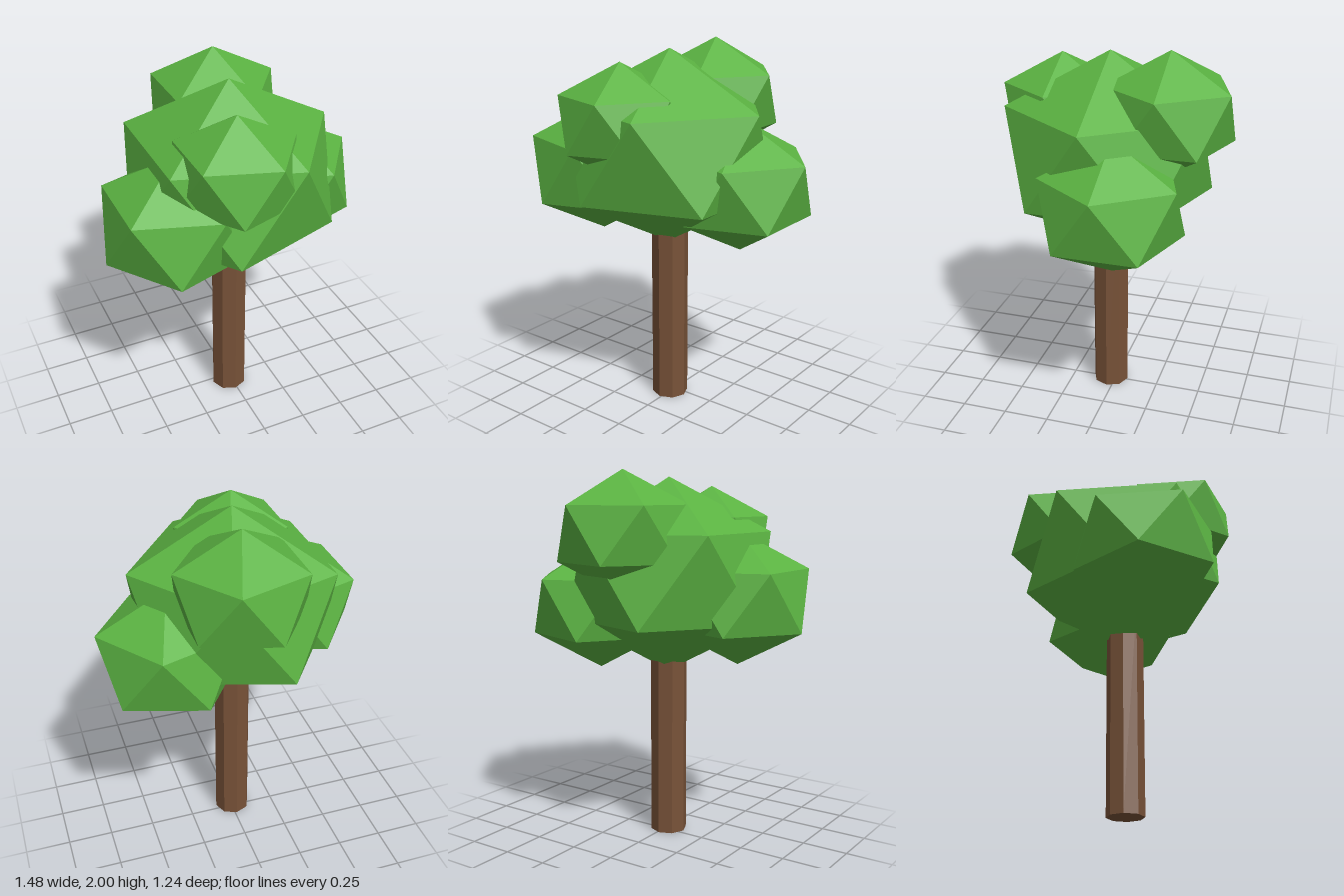
import * as THREE from 'three';

export function createModel() {
  const tree = new THREE.Group();
  tree.name = 'tree';

  const leafGreen = new THREE.MeshStandardMaterial({ color: 0x5bb342 });
  leafGreen.name = 'leaf green';
  const barkBrown = new THREE.MeshStandardMaterial({ color: 0x785238 });
  barkBrown.name = 'bark brown';

  // Trunk: faceted octagonal post running up into the canopy
  const height = 1.15;
  const post = new THREE.CylinderGeometry(0.1, 0.1, height, 8).toNonIndexed();
  post.computeVertexNormals();
  const trunk = new THREE.Mesh(post, barkBrown);
  trunk.name = 'trunk';
  trunk.position.set(-0.01, height / 2, 0.03);
  tree.add(trunk);

  // Leaf clumps: icosahedra standing on one vertex, slightly squashed
  const clumpGeometry = new THREE.IcosahedronGeometry(1, 0);
  clumpGeometry.rotateZ(-Math.atan(2 / (1 + Math.sqrt(5))));

  // name, centre x, y, z, horizontal radius, vertical radius
  const clumps = [
    ['mainClump', -0.01, 1.443, 0.03, 0.615, 0.524],
    ['lowerRightClump', -0.365, 1.325, 0.17, 0.42, 0.358],
    ['lowerLeftClump', 0.37, 1.27, -0.09, 0.415, 0.354],
    ['upperFrontClump', -0.1, 1.62, 0.32, 0.352, 0.3],
    ['upperBackClump', 0.05, 1.677, -0.3, 0.38, 0.323],
  ];
  const canopy = new THREE.Group();
  canopy.name = 'canopy';
  for (const [name, x, y, z, radius, rise] of clumps) {
    const clump = new THREE.Mesh(clumpGeometry, leafGreen);
    clump.name = name;
    clump.position.set(x, y, z);
    clump.scale.set(radius, rise, radius);
    canopy.add(clump);
  }
  tree.add(canopy);

  return tree;
}
